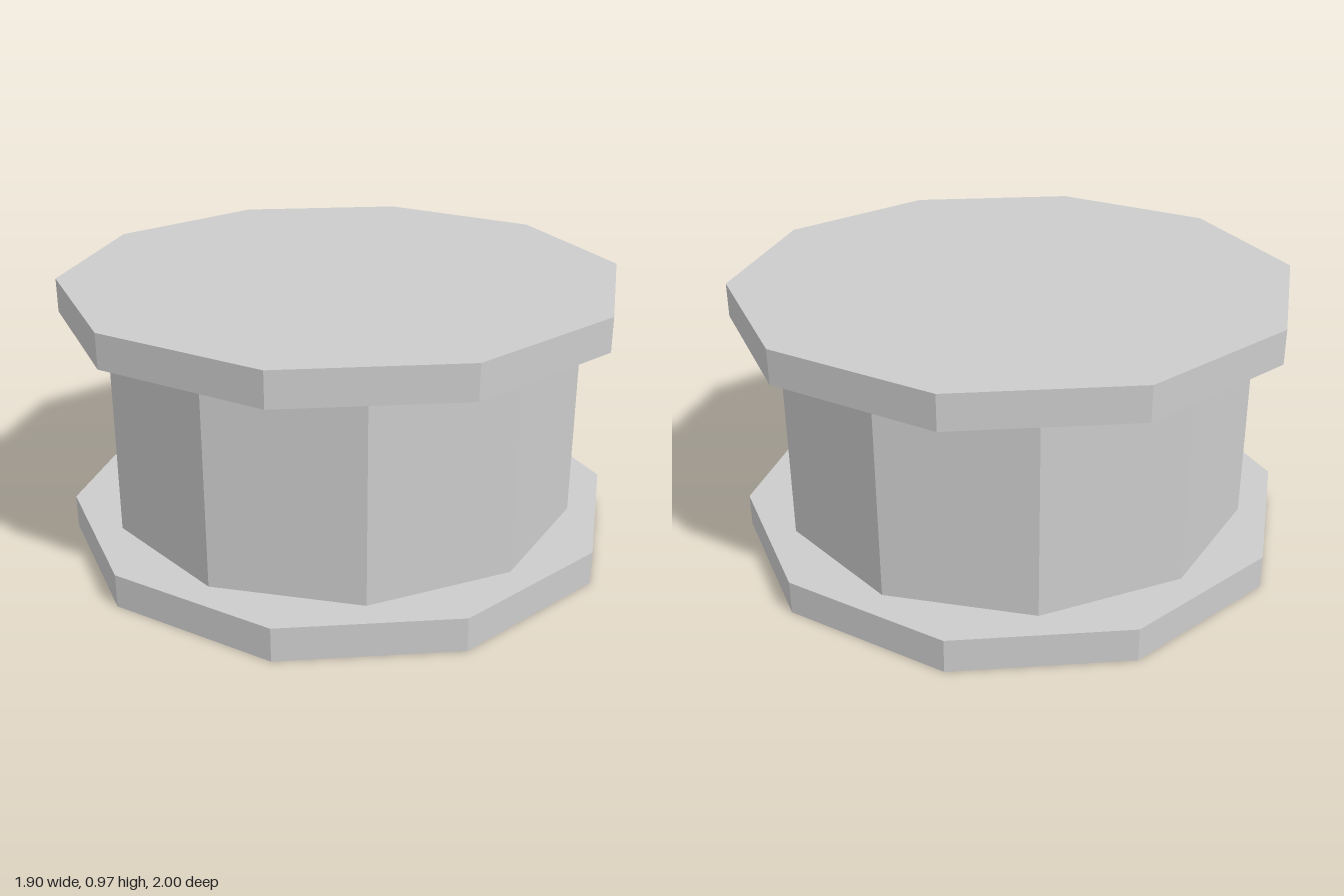
import * as THREE from 'three';

const SIDES = 10;
const PLATE_RADIUS = 1;
const PLATE_HEIGHT = 0.12;
const DRUM_RADIUS = 0.85;
const DRUM_HEIGHT = 0.73;

export function createModel() {
  const model = new THREE.Group();
  model.name = 'spool';

  const grey = new THREE.MeshStandardMaterial({ color: 0xcccccc, flatShading: true });
  grey.name = 'light grey';

  // Ten-sided prism standing on the given height
  function addPrism(name, radius, height, bottom, turn, openEnded) {
    const geometry = new THREE.CylinderGeometry(radius, radius, height, SIDES, 1, openEnded, turn);
    const mesh = new THREE.Mesh(geometry, grey);
    mesh.name = name;
    mesh.position.y = bottom + height / 2;
    model.add(mesh);
  }

  // End plates, with a corner at the front
  addPrism('bottomPlate', PLATE_RADIUS, PLATE_HEIGHT, 0, 0, false);
  addPrism('topPlate', PLATE_RADIUS, PLATE_HEIGHT, PLATE_HEIGHT + DRUM_HEIGHT, 0, false);

  // Drum between the plates, turned half a side so a flat faces the front
  addPrism('drum', DRUM_RADIUS, DRUM_HEIGHT, PLATE_HEIGHT, Math.PI / SIDES, true);

  return model;
}
